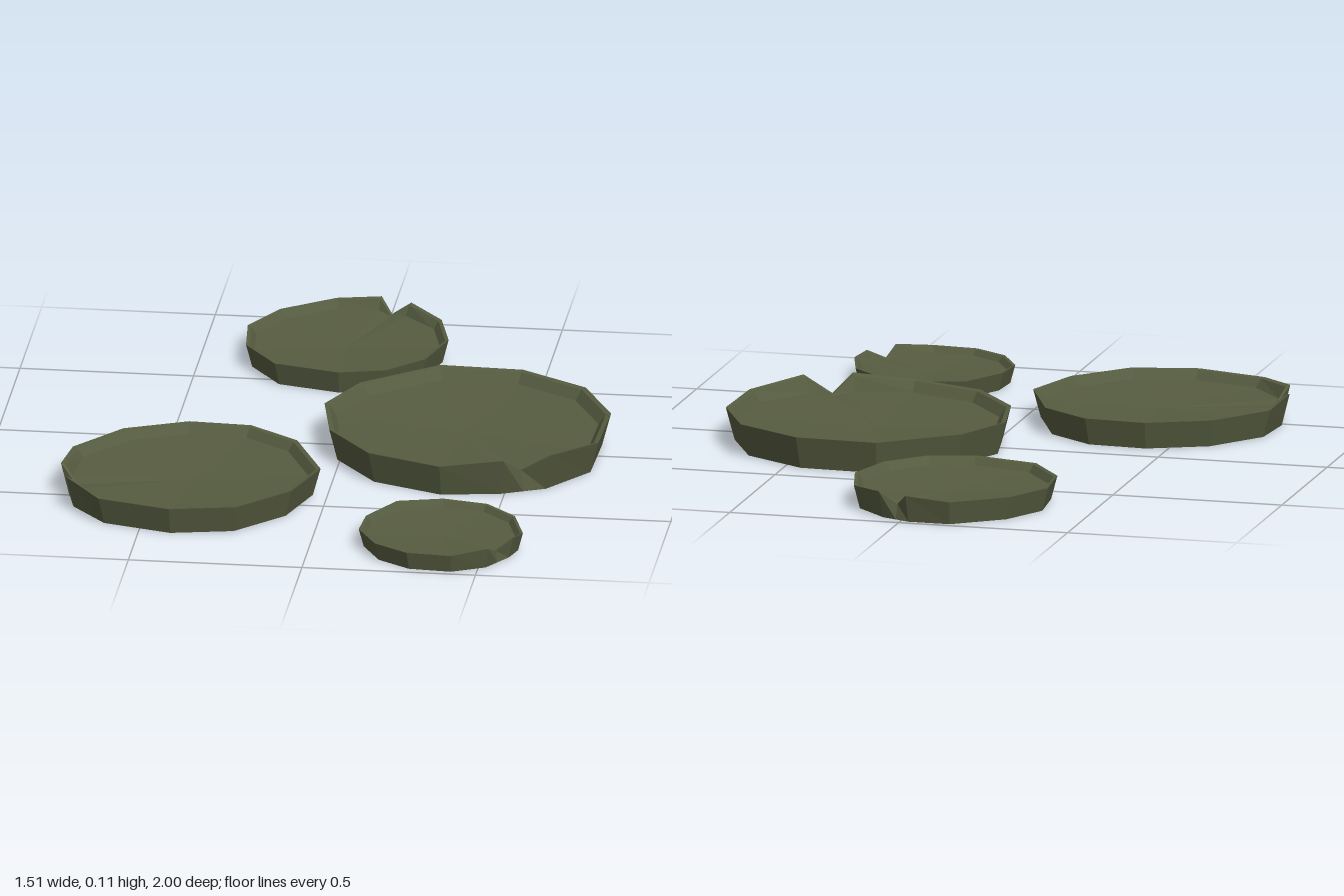
import * as THREE from 'three';

const leaf = new THREE.MeshStandardMaterial({ color: 0x565c40, flatShading: true, side: THREE.DoubleSide });
leaf.name = 'dull leaf green';

// Rim outline as [x, z] points; the notch is cut after the point at index `notch`.
const pads = [
  { name: 'largePad', h: 0.094, notch: 5, c: [0.34, -0.02], rim: [
    [0.22, -0.43], [0.46, -0.42], [0.655, -0.3], [0.753, -0.1], [0.747, 0.14], [0.63, 0.3],
    [0.5, 0.36], [0.32, 0.39], [0.105, 0.305], [-0.03, 0.13], [-0.07, -0.08], [0.01, -0.26]].reverse() },
  { name: 'leftPad', h: 0.08, notch: 8, c: [-0.385, 0.435], rim: [
    [-0.44, 0.075], [-0.26, 0.085], [-0.115, 0.19], [-0.02, 0.41], [-0.08, 0.6], [-0.22, 0.75],
    [-0.41, 0.79], [-0.62, 0.73], [-0.73, 0.6], [-0.758, 0.49], [-0.745, 0.32], [-0.62, 0.155]] },
  { name: 'backPad', h: 0.068, notch: 1, c: [-0.08, -0.7], rim: [
    [-0.15, -1], [-0.02, -1], [0.07, -0.96], [0.17, -0.86], [0.21, -0.7], [0.165, -0.54],
    [0.065, -0.435], [-0.07, -0.4], [-0.26, -0.45], [-0.36, -0.59], [-0.375, -0.75], [-0.3, -0.89]] },
  { name: 'smallPad', h: 0.053, notch: 4, c: [0.375, 0.765], rim: [
    [0.35, 0.535], [0.48, 0.562], [0.57, 0.65], [0.61, 0.785], [0.59, 0.85], [0.53, 0.945],
    [0.43, 0.995], [0.3, 0.985], [0.2, 0.92], [0.14, 0.81], [0.147, 0.7], [0.22, 0.57]] },
];
// Keep every outline running the same way round
pads[0].rim.reverse();

// Profile from the foot, over the rim, down to the floor: scale and height,
// for ordinary points, for the raised points beside the notch, and in the notch
const profile = [
  { plain: [0.94, 0], peak: [0.94, 0], cut: [0.94, 0] },
  { plain: [1, 1], peak: [1, 1.16], cut: [0.91, 0.64] },
  { plain: [0.965, 0.97], peak: [0.965, 1.1], cut: [0.89, 0.62] },
  { plain: [0.915, 0.66], peak: [0.915, 0.66], cut: [0.88, 0.58] },
];

function makePad({ name, h, notch, c, rim }) {
  const pts = rim.map(([x, z], i) => ({ x, z, kind: i === notch || i === notch + 1 ? 'peak' : 'plain' }));
  const a = pts[notch], b = pts[notch + 1];
  pts.splice(notch + 1, 0, { x: (a.x + b.x) / 2, z: (a.z + b.z) / 2, kind: 'cut' });
  const n = pts.length, pos = [], index = [];

  // Rings of the wall and rim
  for (const ring of profile) {
    for (const p of pts) {
      const [s, y] = ring[p.kind];
      pos.push(c[0] + (p.x - c[0]) * s, y * h, c[1] + (p.z - c[1]) * s);
    }
  }
  // Shallow dished floor
  const centre = pos.length / 3, last = (profile.length - 1) * n;
  pos.push(c[0], h * 0.5, c[1]);
  for (let i = 0; i < n; i++) {
    const j = (i + 1) % n;
    for (let r = 0; r < last; r += n) {
      index.push(r + i, r + n + i, r + n + j, r + i, r + n + j, r + j);
    }
    index.push(last + i, centre, last + j);
  }

  const geo = new THREE.BufferGeometry();
  geo.setAttribute('position', new THREE.Float32BufferAttribute(pos, 3));
  geo.setIndex(index);
  const flat = geo.toNonIndexed();
  flat.computeVertexNormals();
  const mesh = new THREE.Mesh(flat, leaf);
  mesh.name = name;
  return mesh;
}

export function createModel() {
  const group = new THREE.Group();
  group.name = 'floatingLeafPads';
  for (const pad of pads) group.add(makePad(pad));
  return group;
}
